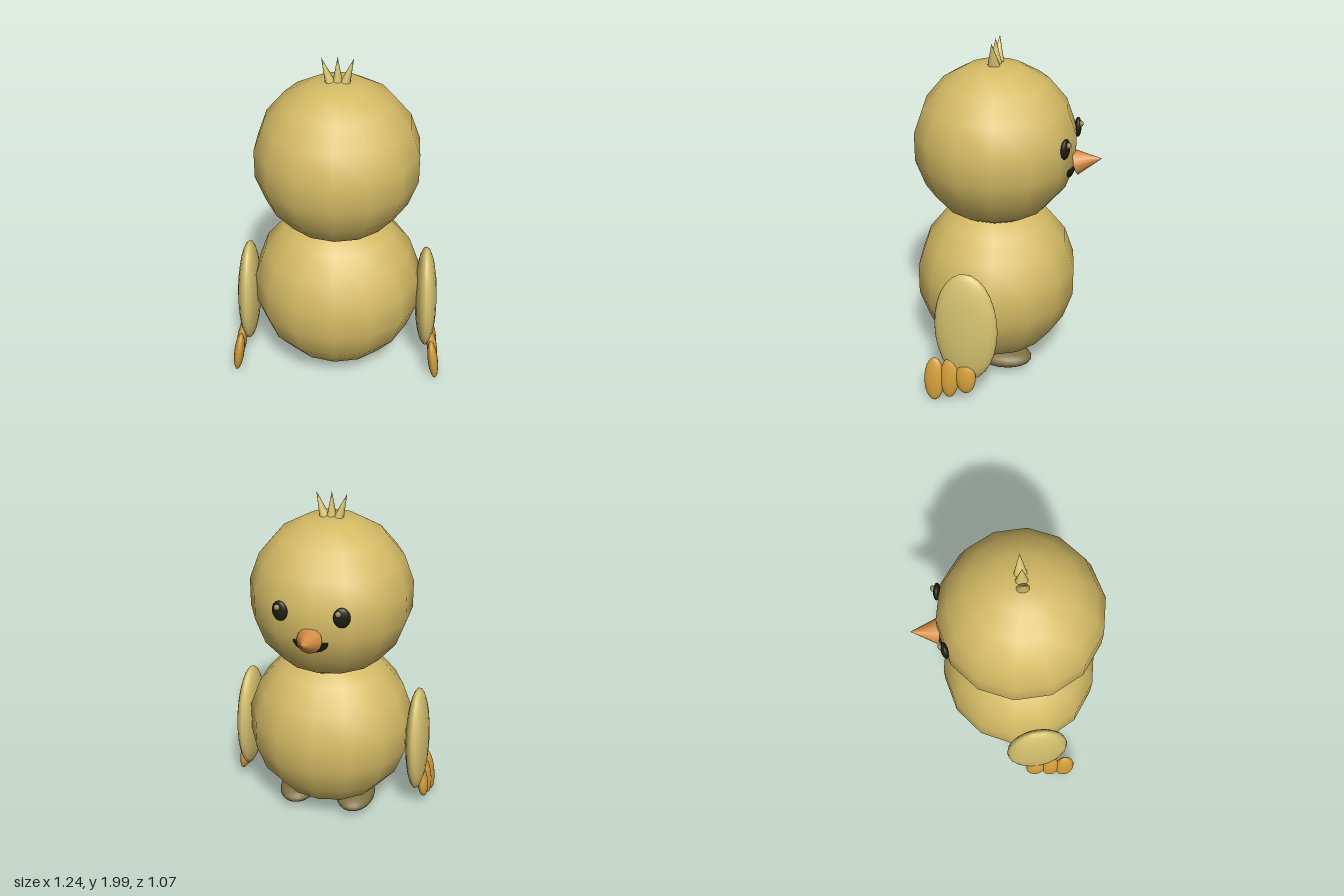
import * as THREE from 'three';

export function createModel() {
  const chick = new THREE.Group();
  chick.name = 'chick';

  const paint = (name, color) => {
    const m = new THREE.MeshStandardMaterial({ color });
    m.name = name;
    return m;
  };
  const down = paint('yellow down', 0xd4bb65);
  const wingDown = paint('pale wing down', 0xd7c370);
  const orange = paint('feather orange', 0xd29d38);
  const beakOrange = paint('beak orange', 0xd68f45);
  const footBrown = paint('foot brown', 0x7d6f40);
  const black = paint('eye black', 0x201e10);
  const glint = paint('eye glint', 0x94845a);

  const add = (name, geometry, material, pos, rot = [0, 0, 0]) => {
    const mesh = new THREE.Mesh(geometry, material);
    mesh.name = name;
    mesh.position.set(...pos);
    mesh.rotation.set(...rot);
    chick.add(mesh);
    return mesh;
  };
  const ellipsoid = (rx, ry, rz, w = 20, h = 14) =>
    new THREE.SphereGeometry(1, w, h).scale(rx, ry, rz);
  // Coarse ball with a vertex column facing straight forward and back
  const ball = (rx, ry, rz) =>
    new THREE.SphereGeometry(1, 14, 9).rotateY(Math.PI / 2).scale(rx, ry, rz);
  // Cone from a base centre to a tip, squashed sideways by sx
  const spike = (name, base, tip, radius, sx, material) => {
    const a = new THREE.Vector3(...base), b = new THREE.Vector3(...tip);
    const dir = b.clone().sub(a);
    const geo = new THREE.ConeGeometry(radius, dir.length(), 12).scale(sx, 1, 1);
    const mesh = add(name, geo, material, a.add(b).multiplyScalar(0.5).toArray());
    mesh.quaternion.setFromUnitVectors(new THREE.Vector3(0, 1, 0), dir.normalize());
  };

  // Body and head
  add('body', ball(0.495, 0.505, 0.473), down, [0, 0.56, 0.07]);
  add('head', ball(0.469, 0.47, 0.467), down, [0, 1.4, 0.072]);

  // Paired parts: wings, wing-tip feathers, feet and eyes
  // [x, y, z, half height, half depth] of each wing-tip feather
  const feathers = [
    [0.585, 0.142, 0.282, 0.134, 0.06],
    [0.58, 0.164, 0.192, 0.124, 0.055],
    [0.575, 0.178, 0.097, 0.098, 0.06],
  ];
  for (const [side, s] of [['left', 1], ['right', -1]]) {
    add(side + 'Wing', ellipsoid(0.066, 0.34, 0.185), wingDown,
      [s * 0.528, 0.48, 0.105], [0, 0, s * 0.03]);
    feathers.forEach(([x, y, z, h, d], i) =>
      add(side + 'WingFeather' + (i + 1), ellipsoid(0.03, h, d), orange,
        [s * x, y, z], [0, 0, s * 0.14]));
    add(side + 'Foot', ellipsoid(0.115, 0.058, 0.175), footBrown, [s * 0.18, 0.097, -0.015]);
    add(side + 'Eye', ellipsoid(0.046, 0.058, 0.02), black,
      [s * 0.17, 1.468, -0.362], [0, s * -0.2, 0]);
    add(side + 'EyeGlint', ellipsoid(0.017, 0.017, 0.014, 12, 8), glint,
      [s * 0.167 + 0.013, 1.495, -0.382]);
  }

  // Beak, and the smiling mouth below it
  spike('beak', [0, 1.327, -0.392], [0, 1.364, -0.535], 0.072, 1, beakOrange);
  const smile = new THREE.SphereGeometry(1, 20, 8, 0, Math.PI * 2, Math.PI / 2, Math.PI / 2);
  const lip = new THREE.CircleGeometry(1, 20).rotateX(-Math.PI / 2);
  for (const [name, geo] of [['mouth', smile], ['mouthTop', lip]])
    add(name, geo.scale(0.098, 0.07, 0.022), black, [0, 1.31, -0.369], [-0.15, 0, 0]);

  // Crest of three tufts
  for (const i of [-1, 0, 1])
    spike('crestTuft' + (i + 2), [i * 0.036, 1.84, 0.07], [i * 0.086, i ? 1.993 : 2, 0.07],
      0.04, 0.75, wingDown);

  return chick;
}
